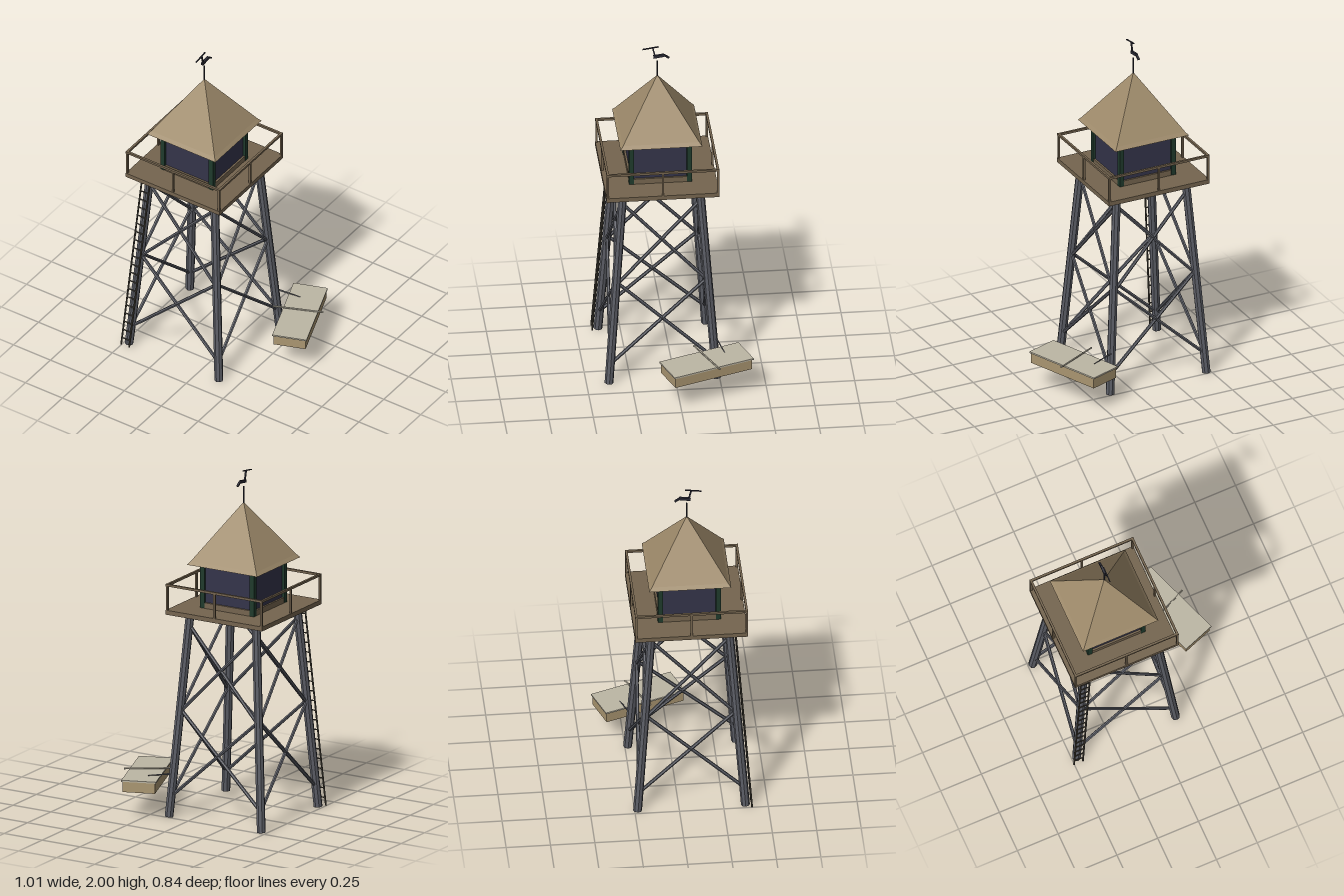
import * as THREE from 'three';

const mat = (color) => new THREE.MeshStandardMaterial({ color, flatShading: true });
const STEEL = mat(0x5c5e66), DECK = mat(0x75654f), ROOF = mat(0xa08c6c), GLASS = mat(0x34344a);
const GREEN = mat(0x1f3a2c), IRON = mat(0x2b2b36), LADDER = mat(0x4b463c), HULL = mat(0xab9772), LID = mat(0xbdb7a5);
const V = (x, y, z) => new THREE.Vector3(x, y, z);

function add(parent, name, geometry, material, x = 0, y = 0, z = 0) {
  const mesh = new THREE.Mesh(geometry, material);
  mesh.name = name;
  mesh.position.set(x, y, z);
  parent.add(mesh);
  return mesh;
}

const box = (parent, name, material, w, h, d, x, y, z) =>
  add(parent, name, new THREE.BoxGeometry(w, h, d), material, x, y, z);

// Round bar between two points
function rod(parent, name, material, a, b, r, sides = 6, rEnd = r) {
  const dir = b.clone().sub(a);
  const mesh = add(parent, name, new THREE.CylinderGeometry(rEnd, r, dir.length(), sides), material);
  mesh.position.copy(a).add(b).multiplyScalar(0.5);
  mesh.quaternion.setFromUnitVectors(V(0, 1, 0), dir.normalize());
  return mesh;
}

// Square frustum; bottom and top are half widths
function frustum(bottom, top, y0, y1, open = false) {
  const g = new THREE.CylinderGeometry(top * Math.SQRT2, bottom * Math.SQRT2, y1 - y0, 4, 1, open);
  return g.rotateY(Math.PI / 4).translate(0, (y0 + y1) / 2, 0);
}

const legHalf = (y) => 0.304 - 0.087 * y / 1.19;

function buildTower() {
  const tower = new THREE.Group();
  tower.name = 'tower';
  tower.position.set(-0.168, 0, 0.07);

  // Splayed legs
  for (const sx of [-1, 1]) for (const sz of [-1, 1]) {
    const at = (y) => V(sx * legHalf(y), y, sz * legHalf(y));
    rod(tower, 'leg', STEEL, at(0.003), at(1.19), 0.025, 8);
  }

  // Each side: cross braces, railing and its posts
  for (let i = 0; i < 4; i++) {
    const side = new THREE.Group();
    side.name = 'towerSide';
    side.rotation.y = i * Math.PI / 2;
    tower.add(side);
    for (const [y0, y1] of [[0.12, 0.63], [0.61, 1.12]]) for (const s of [-1, 1]) {
      const a = legHalf(y0), b = legHalf(y1);
      rod(side, 'brace', STEEL, V(-s * a, y0, a), V(s * b, y1, b), 0.01);
    }
    box(side, 'handrail', DECK, 0.636, 0.013, 0.013, 0, 1.357, 0.311);
    for (const x of [0, 0.311]) box(side, 'railPost', DECK, 0.012, 0.15, 0.012, x, 1.28, 0.311);
    // Cabin corner posts and window lintels
    box(side, 'cabinPost', GREEN, 0.028, 0.255, 0.028, 0.163, 1.34, 0.163);
    box(side, 'lintel', GREEN, 0.33, 0.014, 0.018, 0, 1.464, 0.164);
  }

  // Deck and cabin
  box(tower, 'deck', DECK, 0.636, 0.026, 0.636, 0, 1.198, 0);
  box(tower, 'cabinBase', DECK, 0.348, 0.035, 0.348, 0, 1.226, 0);
  box(tower, 'windows', GLASS, 0.326, 0.235, 0.326, 0, 1.355, 0);

  // Pyramid roof with a bevelled eave
  add(tower, 'eave', frustum(0.231, 0.215, 1.468, 1.488), ROOF);
  add(tower, 'roof', frustum(0.215, 0.001, 1.488, 1.812), ROOF);

  // Ladder along the front leg
  const railPoint = (y, s) => V(-legHalf(y) - 0.003 + s * 0.027, y, legHalf(y) + 0.035);
  for (const s of [-1, 1]) rod(tower, 'ladderRail', LADDER, railPoint(0.004, s), railPoint(1.19, s), 0.005);
  for (let i = 0; i < 20; i++) {
    const y = 0.05 + i * 0.057;
    rod(tower, 'ladderRung', LADDER, railPoint(y, -1), railPoint(y, 1), 0.004, 5);
  }

  // Finial and wind vane
  rod(tower, 'finial', IRON, V(0, 1.8, 0), V(0, 1.905, 0), 0.004);
  const vane = new THREE.Group();
  vane.name = 'windVane';
  tower.add(vane);
  const bars = [
    [0.083, 1.983, -0.008, 1.996, 0.006, 0.006],
    [0.026, 1.99, 0.014, 1.94, 0.008, 0.008],
    [0.022, 1.931, -0.04, 1.94, 0.016, 0.013],
    [-0.036, 1.942, -0.066, 1.921, 0.009, 0.012],
  ];
  for (const [z0, y0, z1, y1, h, w] of bars) {
    const bar = box(vane, 'vanePart', IRON, w, h, Math.hypot(z1 - z0, y1 - y0), 0, (y0 + y1) / 2, (z0 + z1) / 2);
    bar.rotation.x = -Math.atan2(y1 - y0, z1 - z0);
  }
  return tower;
}

function buildRaft() {
  // Covered box beside the tower
  const raft = new THREE.Group();
  raft.name = 'coveredBox';
  raft.position.set(0.326, 0, -0.157);
  raft.rotation.y = THREE.MathUtils.degToRad(20);
  box(raft, 'hull', HULL, 0.185, 0.062, 0.478, 0, 0.191, 0);
  box(raft, 'lid', LID, 0.198, 0.009, 0.492, 0, 0.226, 0);
  return raft;
}

export function createModel() {
  const model = new THREE.Group();
  model.name = 'watchTower';
  model.add(buildTower(), buildRaft());
  // Bar lying on the lid and the spike reaching it from the back leg
  rod(model, 'lidBar', LID, V(0.184, 0.244, -0.1), V(0.44, 0.233, -0.222), 0.005);
  rod(model, 'spike', STEEL, V(0.13, 0.252, -0.232), V(0.254, 0.232, -0.267), 0.005, 6, 0.002);
  return model;
}
